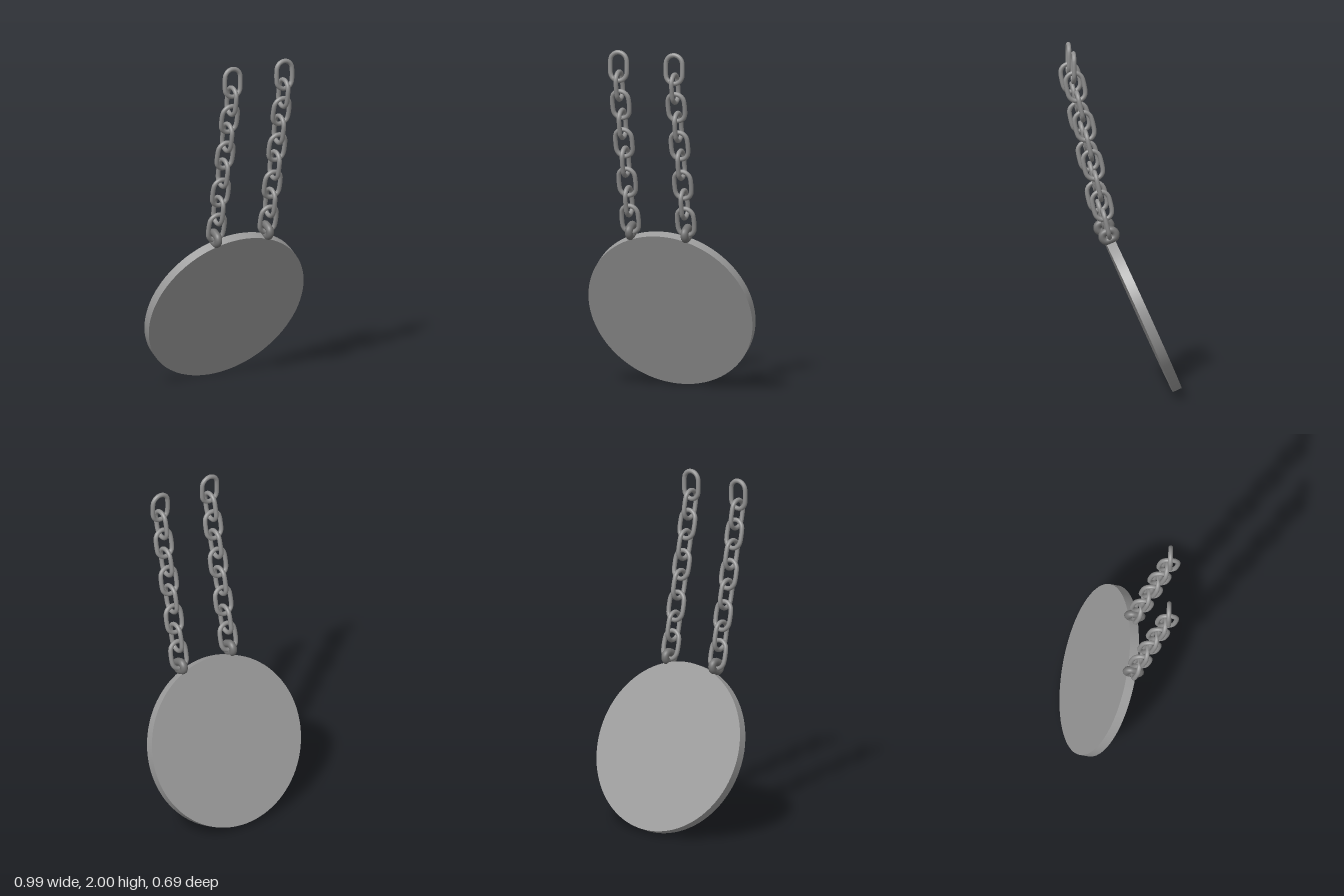
import * as THREE from 'three';

const plateMat = new THREE.MeshStandardMaterial({ color: 0x9b9b9b });
plateMat.name = 'plateGrey';
const chainMat = new THREE.MeshStandardMaterial({ color: 0x8f8f8f });
chainMat.name = 'chainGrey';
const shackleMat = new THREE.MeshStandardMaterial({ color: 0x747474 });
shackleMat.name = 'shackleGrey';

// Closed stadium-shaped tube in the XY plane, long along y
function linkGeometry(bend, straight, tube) {
  const points = [];
  for (let end = 0; end < 2; end++) {
    for (let i = 0; i <= 8; i++) {
      const a = Math.PI * (end + i / 8);
      points.push(new THREE.Vector3(bend * Math.cos(a), bend * Math.sin(a) + (end ? -straight : straight), 0));
    }
  }
  const path = new THREE.CatmullRomCurve3(points, true, 'centripetal');
  return new THREE.TubeGeometry(path, 48, tube, 12, true);
}

// Link centres from top to bottom: [y, z, tilt in degrees]
const LINKS = [
  [1.905, 0.287, 0], [1.793, 0.275, 12],
  [1.68, 0.25, 13], [1.565, 0.224, 13],
  [1.452, 0.2, 13], [1.34, 0.175, 13],
  [1.218, 0.147, 13], [1.104, 0.123, 13],
  [0.998, 0.1, 14],
];

export function createModel() {
  const model = new THREE.Group();
  model.name = 'hangingDisc';
  const tilt = THREE.MathUtils.degToRad(24);

  // Round plate leaning back at the bottom
  const plate = new THREE.Mesh(new THREE.CylinderGeometry(0.496, 0.496, 0.055, 96), plateMat);
  plate.name = 'roundPlate';
  plate.rotation.x = tilt - Math.PI / 2;
  plate.position.set(0, 0.465, -0.117);
  model.add(plate);

  const linkGeo = linkGeometry(0.05, 0.032, 0.0132);
  const shackleGeo = linkGeometry(0.026, 0.014, 0.0225);

  for (const [side, x] of [['right', -0.173], ['left', 0.167]]) {
    const chain = new THREE.Group();
    chain.name = side + 'Chain';
    chain.position.x = x;

    // Links alternate between facing the front and facing sideways
    LINKS.forEach(([y, z, degrees], i) => {
      const link = new THREE.Mesh(linkGeo, chainMat);
      link.name = 'chainLink' + (i + 1);
      link.rotation.set(THREE.MathUtils.degToRad(degrees), i % 2 ? Math.PI / 2 : 0, 0);
      link.position.set(0, y, z);
      chain.add(link);
    });

    // Heavy ring through the rim, long across the plate's thickness
    const shackle = new THREE.Mesh(shackleGeo, shackleMat);
    shackle.name = side + 'Shackle';
    shackle.rotation.set(tilt - Math.PI / 2, Math.PI / 2, 0);
    shackle.position.set(0, 0.93, 0.083);
    chain.add(shackle);
    model.add(chain);
  }
  return model;
}
